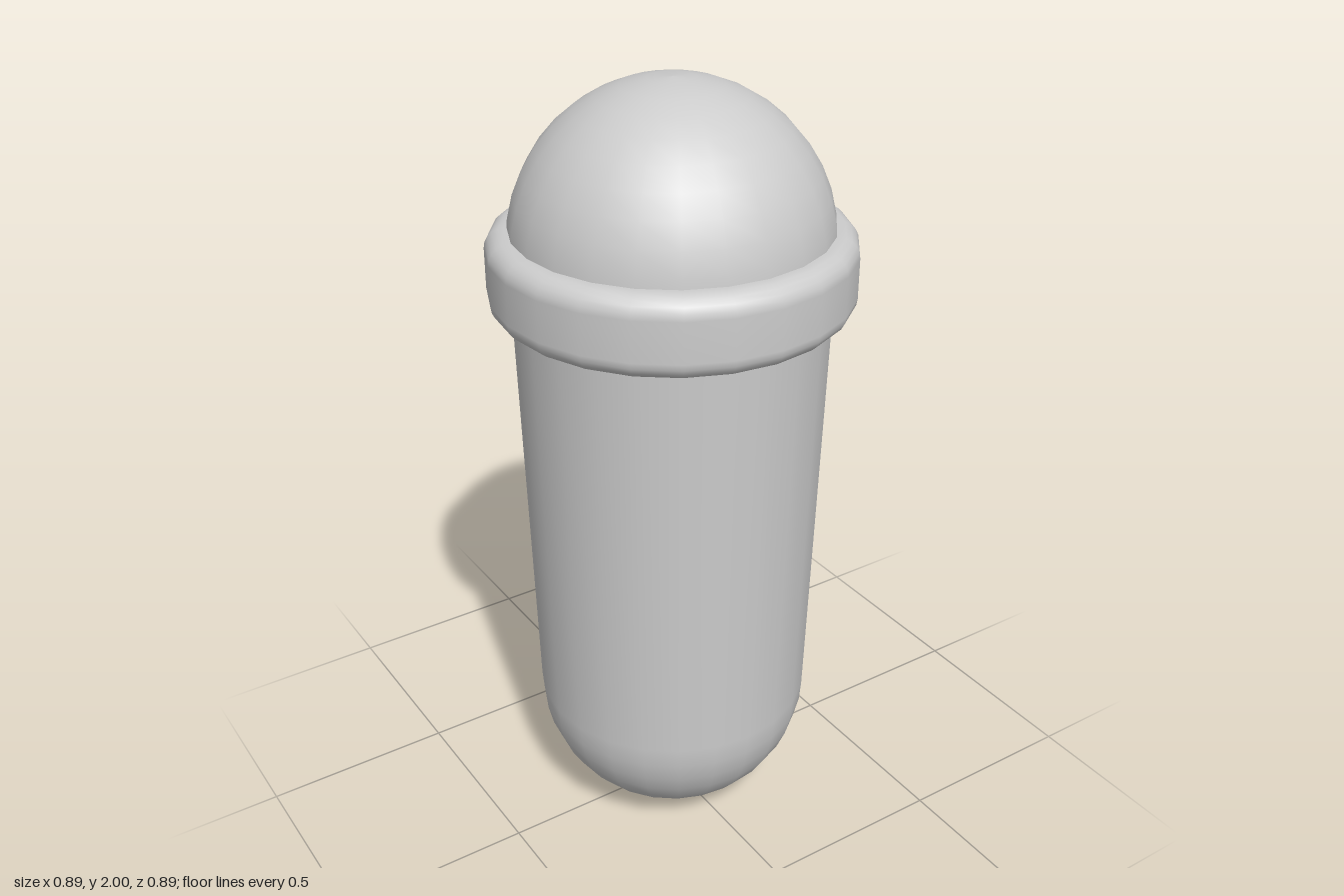
import * as THREE from 'three';

const SIDES = 24;

// Points along an arc from angle a0 to a1 (degrees from horizontal)
function arc(cx, cy, r, a0, a1, steps) {
  return Array.from({ length: steps + 1 }, (_, i) => {
    const a = THREE.MathUtils.degToRad(a0 + ((a1 - a0) * i) / steps);
    return new THREE.Vector2(Math.max(0, cx + r * Math.cos(a)), cy + r * Math.sin(a));
  });
}

export function createModel() {
  const group = new THREE.Group();
  const grey = new THREE.MeshStandardMaterial({ color: 0xcccccc });
  grey.name = 'plain grey';

  const turned = (name, profile) => {
    const mesh = new THREE.Mesh(new THREE.LatheGeometry(profile, SIDES), grey);
    mesh.name = name;
    group.add(mesh);
  };

  // Tapered body with a rounded bottom
  turned('body', [...arc(0, 0.358, 0.358, -90, 0, 10), new THREE.Vector2(0.389, 1.55)]);

  // Collar with rounded edges
  turned('collar', [
    new THREE.Vector2(0.36, 1.45),
    ...arc(0.393, 1.5, 0.05, -90, 0, 5),
    ...arc(0.393, 1.6, 0.05, 0, 90, 5),
    new THREE.Vector2(0.36, 1.65),
  ]);

  // Domed top
  turned('dome', [new THREE.Vector2(0.39, 1.55), ...arc(0, 1.61, 0.39, 0, 90, 10)]);

  return group;
}
